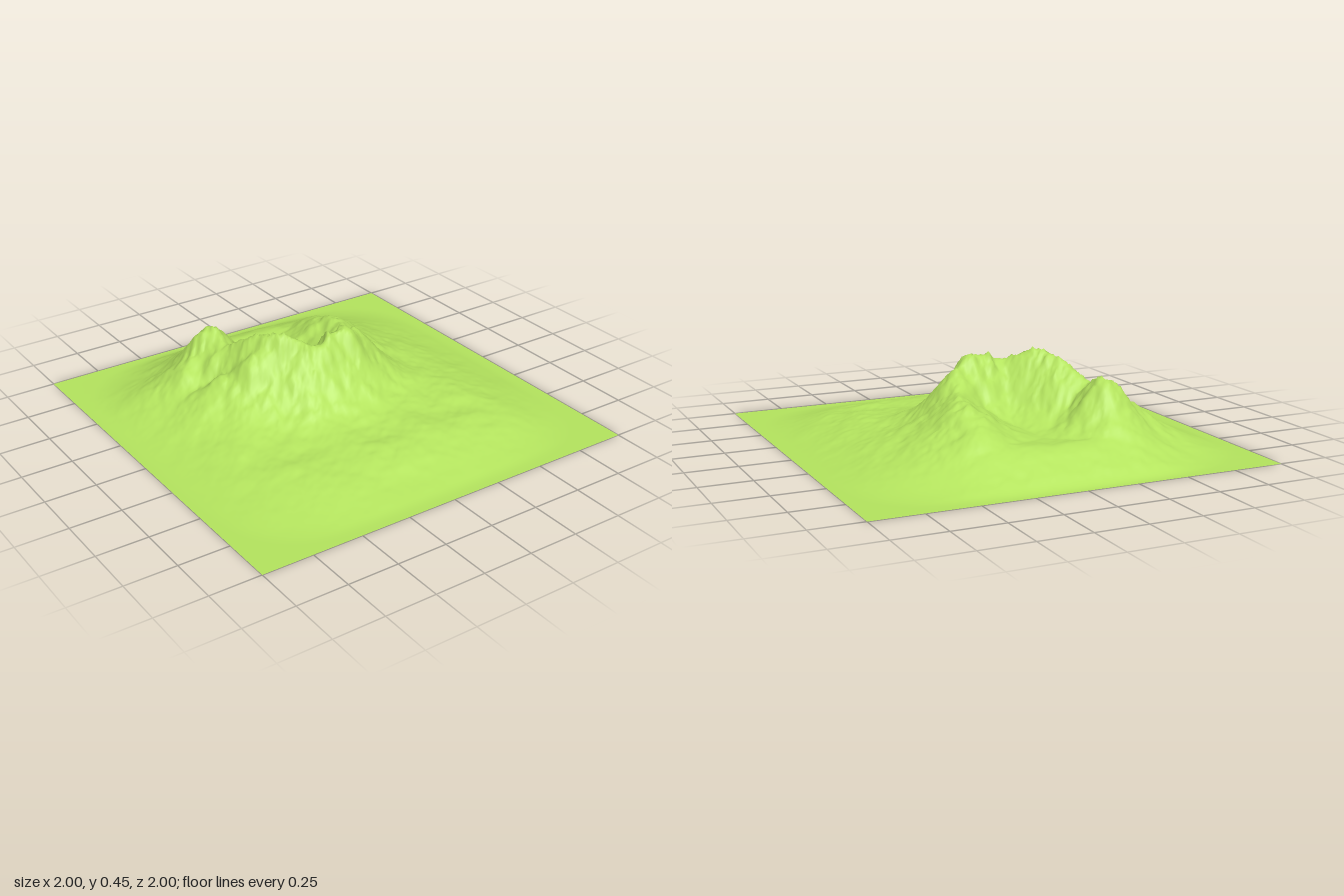
import * as THREE from 'three';

const { lerp, clamp, smoothstep } = THREE.MathUtils;

// Crest lines as x, z, height
const CRESTS = [
  // horseshoe rim
  [
    [-0.32, -0.66, 0.15], [-0.35, -0.57, 0.25], [-0.37, -0.48, 0.37], [-0.36, -0.35, 0.32],
    [-0.28, -0.2, 0.4], [-0.21, -0.08, 0.44], [-0.13, 0, 0.41], [-0.03, 0.02, 0.37],
    [0.1, 0, 0.43], [0.19, -0.04, 0.37], [0.26, -0.17, 0.29], [0.29, -0.4, 0.27],
    [0.31, -0.54, 0.2], [0.3, -0.63, 0.14],
  ],
  // low lip closing the crater at the back
  [[0.3, -0.6, 0.15], [0.16, -0.67, 0.13], [0.02, -0.69, 0.12], [-0.16, -0.69, 0.13], [-0.32, -0.64, 0.16]],
  // spurs on the outer right flank
  [[-0.38, -0.45, 0.34], [-0.47, -0.44, 0.26], [-0.57, -0.46, 0.14]],
  [[-0.22, -0.07, 0.42], [-0.33, -0.11, 0.35], [-0.44, -0.19, 0.24]],
];

// Seeded value noise in -1..1
function hash(i, j) {
  let h = Math.imul(i, 374761393) + Math.imul(j, 668265263) + 1013;
  h = Math.imul(h ^ (h >>> 13), 1274126177);
  return ((h ^ (h >>> 16)) >>> 0) / 2147483648 - 1;
}

function noise(x, z) {
  const i = Math.floor(x), j = Math.floor(z);
  const u = smoothstep(x - i, 0, 1), v = smoothstep(z - j, 0, 1);
  return lerp(lerp(hash(i, j), hash(i + 1, j), u), lerp(hash(i, j + 1), hash(i + 1, j + 1), u), v);
}

function fractal(x, z, frequency) {
  let sum = 0, amp = 0.55;
  for (let k = 0; k < 4; k++, frequency *= 2.1, amp *= 0.62) {
    sum += amp * noise(x * frequency + 17, z * frequency + 5);
  }
  return sum;
}

// Low apron that fades softly into the flat square border, shallower at the front right
function apron(x, z) {
  const r = Math.pow(x ** 4 + z ** 4, 0.25);
  const hollow = 0.25 * Math.exp(-((x + 0.6) ** 2 + (z - 0.5) ** 2) / 0.15);
  return 0.09 * smoothstep((1 - r) / 0.46, 0, 1) * (1 - hollow);
}

// Steep flanks falling away on both sides of the crest lines
function ridge(x, z, base) {
  let best = 0;
  for (const crest of CRESTS) {
    for (let i = 0; i + 1 < crest.length; i++) {
      const [ax, az, ah] = crest[i], [bx, bz, bh] = crest[i + 1];
      const dx = bx - ax, dz = bz - az;
      const t = clamp(((x - ax) * dx + (z - az) * dz) / (dx * dx + dz * dz), 0, 1);
      const d = Math.hypot(x - ax - t * dx, z - az - t * dz);
      best = Math.max(best, (lerp(ah, bh, t) - base) * Math.exp(-Math.pow(d / 0.175, 1.6)));
    }
  }
  return best;
}

function height(x, z) {
  const base = apron(x, z);
  // Warp the ground plan so the crest and gullies wander
  const wx = x + 0.016 * fractal(x, z, 16), wz = z + 0.016 * fractal(x + 4, z, 16);
  const rise = ridge(wx, wz, base);
  // The crater floor and the back slope stay smooth
  const floor = Math.exp(-(((x - 0.03) / 0.17) ** 2) - ((z + 0.42) / 0.3) ** 2);
  const calm = (1 - 0.9 * floor) * (1 - 0.8 * smoothstep(-z, 0.55, 0.75));
  const rough = 0.16 * base * fractal(x, z, 6) + 0.1 * rise * fractal(x, z, 15);
  return base + rise + 0.015 * floor + rough * calm;
}

export function createModel() {
  const group = new THREE.Group();
  group.name = 'volcanicMountain';

  // Terrain sheet raised by the height rule
  const geometry = new THREE.PlaneGeometry(2, 2, 150, 150).rotateX(-Math.PI / 2);
  const p = geometry.attributes.position;
  for (let i = 0; i < p.count; i++) {
    const x = p.getX(i), z = p.getZ(i);
    // Pin the outer border to the ground
    const edge = smoothstep(1 - Math.max(Math.abs(x), Math.abs(z)), 0, 0.12);
    p.setY(i, edge * height(x, z));
  }
  geometry.computeVertexNormals();

  const material = new THREE.MeshStandardMaterial({ color: 0xb4e45e, side: THREE.DoubleSide });
  const terrain = new THREE.Mesh(geometry, material);
  terrain.name = 'terrain';
  group.add(terrain);
  return group;
}
